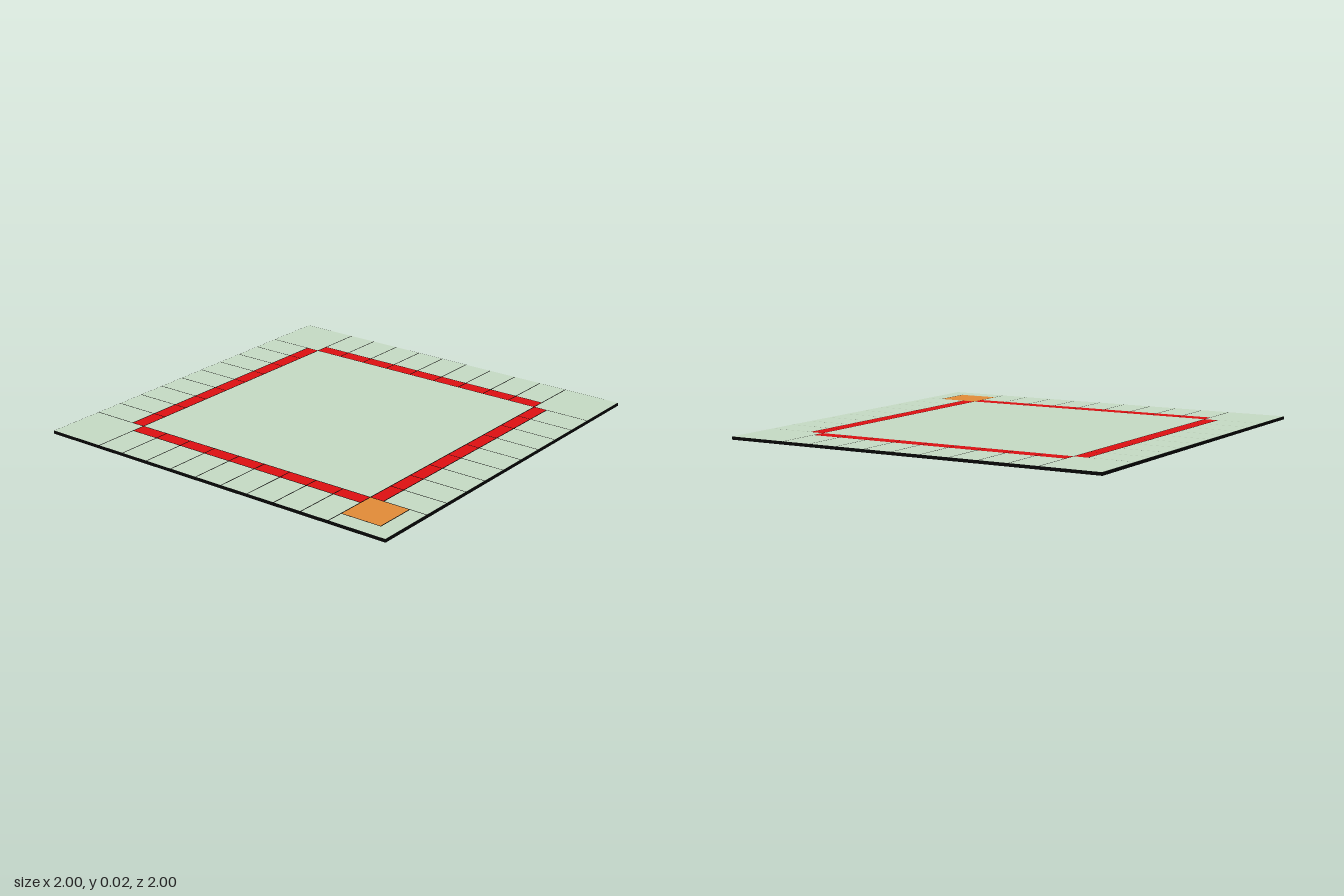
import * as THREE from 'three';

const BASE = 0.015;   // thickness of the black base
const SKIN = 0.001;   // thickness of the coloured panels
const GAP = 0.006;    // black line between panels
const IN = 0.692;     // half width of the central field
const BAND = 0.765;   // outer edge of the red bands
const TOKEN = 0.907;  // outer edge of the orange square
const TILES = 9;

const mat = (color) => new THREE.MeshStandardMaterial({ color });

export function createModel() {
  const board = new THREE.Group();
  board.name = 'board';
  const black = mat(0x050505), green = mat(0xc8ddc6), red = mat(0xe01012), orange = mat(0xe58d38);

  // Flat panel filling a rectangle, inset by half the line width
  function panel(parent, name, material, x0, x1, z0, z1) {
    const geo = new THREE.BoxGeometry(x1 - x0 - GAP, SKIN, z1 - z0 - GAP);
    const mesh = new THREE.Mesh(geo, material);
    mesh.name = name;
    mesh.position.set((x0 + x1) / 2, BASE + SKIN / 2, (z0 + z1) / 2);
    parent.add(mesh);
  }

  const base = new THREE.Mesh(new THREE.BoxGeometry(2, BASE, 2), black);
  base.name = 'base';
  base.position.y = BASE / 2;
  board.add(base);

  panel(board, 'centreField', green, -IN, IN, -IN, IN);

  // Four sides, each a row of spaces with a red band on the inner edge
  const pitch = (2 * IN) / TILES;
  ['front', 'left', 'back', 'right'].forEach((label, k) => {
    const side = new THREE.Group();
    side.name = label + 'Side';
    side.rotation.y = (k * Math.PI) / 2;
    for (let i = 0; i < TILES; i++) {
      const x = -IN + i * pitch;
      panel(side, 'redBand', red, x, x + pitch, IN, BAND);
      panel(side, 'space', green, x, x + pitch, BAND, 1);
    }
    if (k > 0) panel(side, 'cornerSpace', green, IN, 1, IN, 1);
    board.add(side);
  });

  // Front left corner: orange square with an L-shaped green surround
  panel(board, 'orangeSquare', orange, IN, TOKEN, IN, TOKEN);
  const h = GAP / 2, a = IN + h, b = TOKEN + h, c = 1 - h;
  const outline = [[a, b], [b, b], [b, a], [c, a], [c, c], [a, c]];
  const shape = new THREE.Shape(outline.map(([x, z]) => new THREE.Vector2(x, -z)));
  const geo = new THREE.ExtrudeGeometry(shape, { depth: SKIN, bevelEnabled: false });
  geo.rotateX(-Math.PI / 2);
  const surround = new THREE.Mesh(geo, green);
  surround.name = 'cornerSurround';
  surround.position.y = BASE;
  board.add(surround);

  return board;
}
